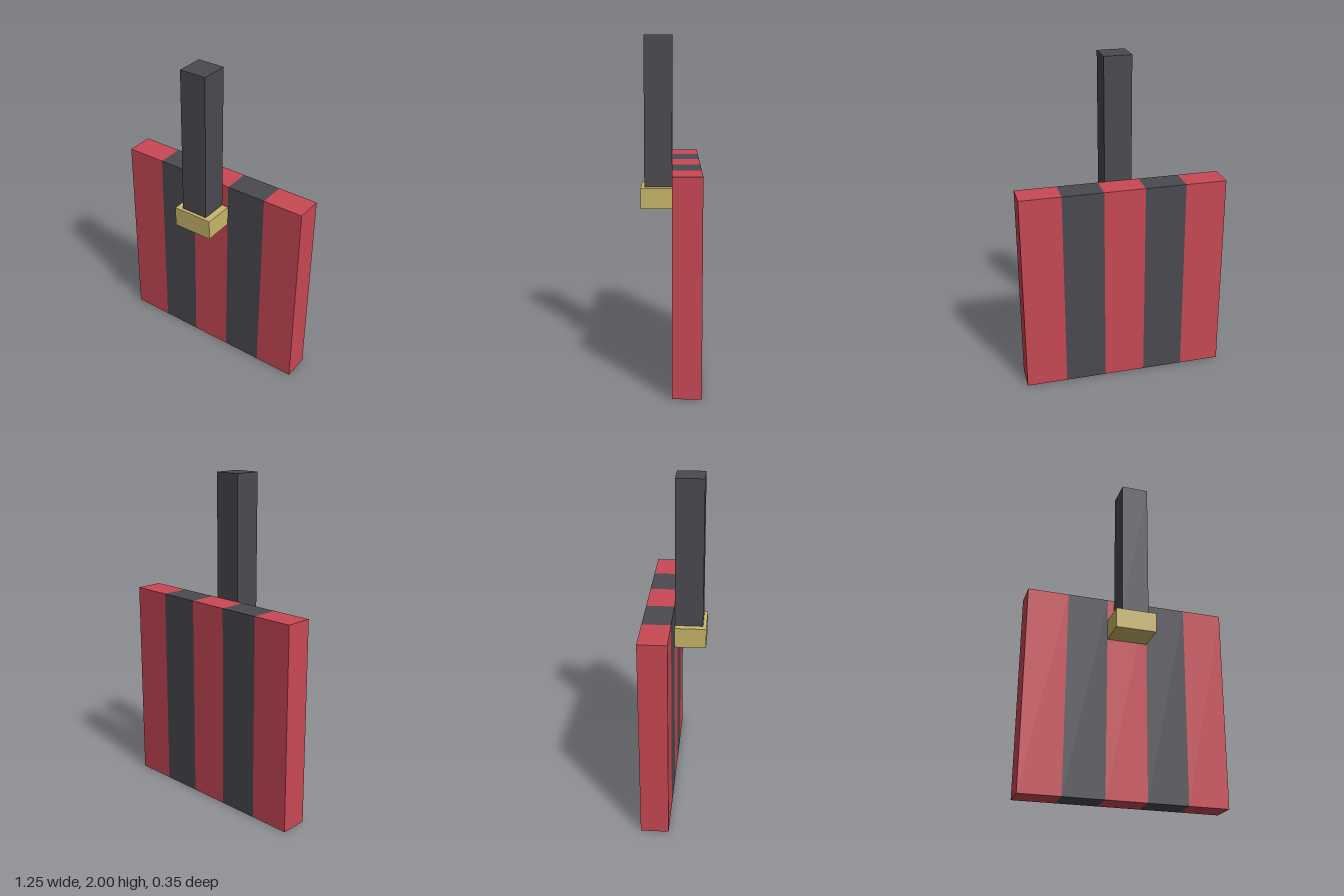
import * as THREE from 'three';

export function createModel() {
  const group = new THREE.Group();
  const material = (name, color) => {
    const m = new THREE.MeshStandardMaterial({ color });
    m.name = name;
    return m;
  };
  const red = material('red', 0xc94854);
  const charcoal = material('charcoal', 0x4a4a51);
  const gold = material('gold', 0xc9b66b);

  // Box given by its minimum and maximum corners
  const box = (name, mat, [x0, y0, z0], [x1, y1, z1]) => {
    const mesh = new THREE.Mesh(new THREE.BoxGeometry(x1 - x0, y1 - y0, z1 - z0), mat);
    mesh.position.set((x0 + x1) / 2, (y0 + y1) / 2, (z0 + z1) / 2);
    mesh.name = name;
    group.add(mesh);
  };

  // Board of five upright stripes in alternating colours
  const stripe = 0.25;
  const back = -0.177;
  const face = -0.011;
  for (let i = 0; i < 5; i++) {
    const x = (i - 2.5) * stripe;
    box(`boardStripe${i + 1}`, i % 2 ? charcoal : red, [x, 0, back], [x + stripe, 1.25, face]);
  }

  // Bracket on the front of the board, holding the upright pole
  box('bracket', gold, [-0.125, 0.983, face], [0.125, 1.107, 0.177]);
  box('pole', charcoal, [-0.083, 1.107, face], [0.083, 2, 0.156]);

  return group;
}
